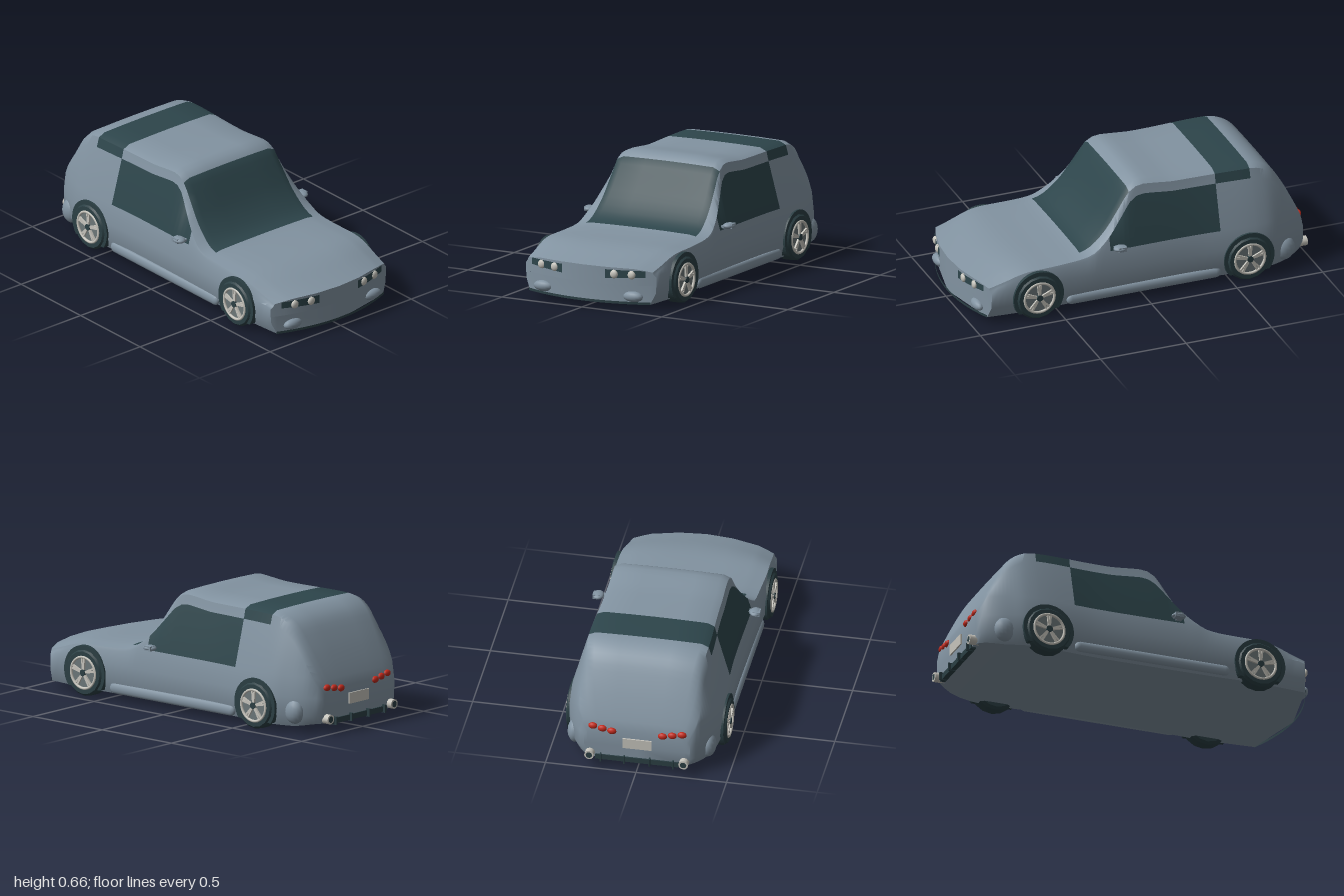
import * as THREE from 'three';
import { toCreasedNormals } from 'three/addons/utils/BufferGeometryUtils.js';

const mat = (name, color, side = THREE.FrontSide) => {
  const m = new THREE.MeshStandardMaterial({ color, side });
  m.name = name;
  return m;
};
const { lerp, clamp, smoothstep } = THREE.MathUtils;

// Height of the centre line and half width of the body along z, front to back
const TOP = [[0.99, 0.235], [0.9, 0.26], [0.8, 0.287], [0.7, 0.302], [0.5, 0.307], [0.36, 0.317], [0.29, 0.345],
  [0.2, 0.43], [0.12, 0.545], [0.06, 0.63], [0, 0.66], [-0.1, 0.655], [-0.2, 0.646], [-0.62, 0.645], [-0.7, 0.633],
  [-0.78, 0.582], [-0.85, 0.48], [-0.91, 0.37], [-0.95, 0.285], [-0.968, 0.24]];
const WIDTH = [[0.99, 0.405], [0.85, 0.415], [0.63, 0.425], [0.4, 0.418], [0, 0.412], [-0.3, 0.412], [-0.6, 0.427],
  [-0.72, 0.42], [-0.8, 0.397], [-0.88, 0.365], [-0.94, 0.325], [-0.968, 0.29]];

// Smooth interpolation through a table of [z, value]
function sample(t, z) {
  let i = 0;
  while (i < t.length - 2 && z < t[i + 1][0]) i++;
  const slope = k => {
    const a = t[Math.max(k - 1, 0)], b = t[Math.min(k + 1, t.length - 1)];
    return (b[1] - a[1]) / (b[0] - a[0]);
  };
  const h = t[i + 1][0] - t[i][0], u = (z - t[i][0]) / h, u2 = u * u, u3 = u2 * u;
  return (2 * u3 - 3 * u2 + 1) * t[i][1] + (u3 - 2 * u2 + u) * h * slope(i)
    + (3 * u2 - 2 * u3) * t[i + 1][1] + (u3 - u2) * h * slope(i + 1);
}

const noseZ = x => 0.99 - 0.09 * (x / 0.4) ** 2;

// Half cross-section from bottom centre round to roof centre
function section(z) {
  const T = sample(TOP, z), W = sample(WIDTH, z), k = clamp((T - 0.31) / 0.3, 0, 1);
  const floor = 0.035 + 0.02 * smoothstep(-z, 0.8, 0.968);
  const beltY = Math.min(T - 0.035, 0.315), sideY = T - lerp(0.02, 0.075, k);
  const sideX = W - 0.012 - (sideY - beltY) * 0.27;
  const edgeX = Math.min(W * lerp(0.825, 0.775, k), sideX - 0.012), roofX = edgeX - 0.04;
  return [[0, floor], [W - 0.03, floor], [W, 0.1], [W + 0.003, Math.min(0.2, beltY - 0.012)], [W - 0.01, beltY],
    [sideX, sideY], [edgeX, T - lerp(0.01, 0.022, k)], [roofX, T - 0.004], [roofX / 2, T - 0.001], [0, T]];
}

function bodyGeometry() {
  const stops = [0.99, 0.36, 0.2, 0.06, -0.44, -0.64, -0.968], parts = [16, 5, 5, 12, 4, 16], zs = [];
  parts.forEach((n, s) => { for (let i = 0; i < n; i++) zs.push(lerp(stops[s], stops[s + 1], i / n)); });
  zs.push(stops[6]);
  const pos = [], N = 18, painted = [], glazed = [];
  const addRow = (z, flat) => {
    const half = section(z), ring = [...half, ...half.slice(1, 9).reverse().map(([x, y]) => [-x, y])];
    const bend = smoothstep(z, 0.5, 0.99);
    for (const [x, y] of ring) pos.push(x, flat ? 0.14 : y, z - (0.99 - noseZ(x)) * bend);
  };
  // The first and last rows close the nose and tail
  addRow(zs[0], true);
  zs.forEach(z => addRow(z, false));
  addRow(zs[zs.length - 1], true);
  for (let i = 0; i < zs.length + 1; i++) {
    const zm = i > 0 && i < zs.length ? (zs[i - 1] + zs[i]) / 2 : 9;
    for (let j = 0; j < N; j++) {
      const cell = j < 9 ? j : 17 - j;
      const sideWindow = cell === 4 && zm < 0.2 && zm > -0.44;
      const windscreen = cell >= 6 && zm < 0.36 && zm > 0.06;
      const roofBand = cell >= 5 && zm < -0.44 && zm > -0.64;
      const a = i * N + j, b = i * N + (j + 1) % N, c = b + N, d = a + N;
      (sideWindow || windscreen || roofBand ? glazed : painted).push(a, d, c, a, c, b);
    }
  }
  const g = new THREE.BufferGeometry();
  g.setAttribute('position', new THREE.Float32BufferAttribute(pos, 3));
  g.setIndex([...painted, ...glazed]);
  g.addGroup(0, painted.length, 0);
  g.addGroup(painted.length, glazed.length, 1);
  return toCreasedNormals(g, 0.8);
}

export function createModel() {
  const car = new THREE.Group();
  car.name = 'car';
  const paint = mat('bluegreyPaint', 0x8293a1), glass = mat('darkGlass', 0x2d454b, THREE.DoubleSide);
  const rubber = mat('rubber', 0x2b3f44, THREE.DoubleSide), alloy = mat('alloy', 0xc6c4bc);
  const hollow = mat('wheelRecess', 0x6c7779), red = mat('redLamp', 0xc22a1c);

  const add = (parent, name, geo, material, x = 0, y = 0, z = 0) => {
    const m = new THREE.Mesh(geo, material);
    m.name = name;
    m.position.set(x, y, z);
    parent.add(m);
    return m;
  };
  const box = (w, h, d) => new THREE.BoxGeometry(w, h, d);
  const ball = (rx, ry, rz) => new THREE.SphereGeometry(1, 16, 10).scale(rx, ry, rz);

  add(car, 'body', bodyGeometry(), [paint, glass]);

  // Wheel shapes, with the axle along x and the outside at +x
  const tyreProfile = [[0.088, -0.045], [0.118, -0.045], [0.13, -0.03], [0.13, 0.03], [0.118, 0.045], [0.088, 0.045]]
    .map(p => new THREE.Vector2(...p));
  const tyreGeo = toCreasedNormals(new THREE.LatheGeometry(tyreProfile, 16).rotateZ(-Math.PI / 2), 0.5);
  const rimGeo = new THREE.TorusGeometry(0.087, 0.008, 8, 32).rotateY(Math.PI / 2);
  const disc = (r, h) => new THREE.CylinderGeometry(r, r, h, 24).rotateZ(Math.PI / 2);
  const archShape = new THREE.Shape().absarc(0, 0, 0.146, -0.65, Math.PI + 0.65);
  const archGeo = new THREE.ExtrudeGeometry(archShape, { depth: 0.05, bevelEnabled: false, curveSegments: 24 })
    .rotateY(Math.PI / 2);

  for (const s of [1, -1]) {
    const side = s > 0 ? 'left' : 'right';
    for (const [end, z] of [['Front', 0.63], ['Rear', -0.6]]) {
      const wheel = new THREE.Group();
      wheel.name = `${side}${end}Wheel`;
      wheel.position.set(s * 0.397, 0.13, z);
      wheel.rotation.y = s > 0 ? 0 : Math.PI;
      car.add(wheel);
      add(wheel, 'wheelArch', archGeo, rubber, -0.015, 0.004, 0);
      add(wheel, 'tyre', tyreGeo, rubber);
      add(wheel, 'rim', rimGeo, alloy, 0.043);
      add(wheel, 'rimRecess', disc(0.087, 0.07), hollow, 0.002);
      add(wheel, 'hub', disc(0.018, 0.014), rubber, 0.045);
      for (let i = 0; i < 5; i++) {
        for (const o of [-0.1, 0.1]) {
          const spoke = add(wheel, 'spoke', box(0.012, 0.07, 0.011).translate(0, 0.052, 0), alloy, 0.042);
          spoke.rotation.x = i * Math.PI * 0.4 + o;
        }
      }
    }

    // Side skirt and bumper bulges
    const skirt = new THREE.CapsuleGeometry(0.03, 0.84, 4, 12).rotateX(Math.PI / 2).scale(0.6, 1, 1);
    add(car, side + 'Skirt', skirt, paint, s * 0.41, 0.07, 0.01);
    add(car, side + 'RearBulge', ball(0.045, 0.07, 0.06), paint, s * 0.365, 0.12, -0.83);
    add(car, side + 'FrontBulge', ball(0.06, 0.03, 0.03), paint, s * 0.28, 0.075, 0.93);

    // Door mirror
    add(car, side + 'Mirror', ball(0.032, 0.017, 0.04), paint, s * 0.434, 0.338, 0.155);
    add(car, side + 'MirrorHousing', box(0.04, 0.026, 0.045), paint, s * 0.442, 0.338, 0.15);
    add(car, side + 'MirrorArm', box(0.05, 0.014, 0.03), paint, s * 0.41, 0.332, 0.165);

    // Headlamp panel wrapped round the nose, with two round lamps
    const panel = new THREE.PlaneGeometry(0.22, 0.048, 8, 1).translate(s * 0.245, 0.198, 0);
    const p = panel.attributes.position;
    for (let i = 0; i < p.count; i++) {
      const x = p.getX(i), t = (Math.abs(x) - 0.135) / 0.22;
      if (p.getY(i) < 0.198) p.setY(i, 0.174 + 0.012 * t);
      p.setZ(i, noseZ(x) + 0.004);
    }
    panel.computeVertexNormals();
    add(car, side + 'HeadlampPanel', panel, glass);
    for (const x of [0.185, 0.28]) add(car, side + 'Headlamp', ball(0.024, 0.024, 0.014), alloy, s * x, 0.198, noseZ(x) + 0.002);

    // Three tail lamps and the exhaust
    for (let i = 0; i < 3; i++) {
      add(car, side + 'TailLamp', ball(0.026, 0.019, 0.016), red, s * (0.14 + i * 0.053), 0.232 + i * 0.008, -0.966 + i * 0.004);
    }
    const pipe = new THREE.CylinderGeometry(0.027, 0.027, 0.07, 12).rotateX(Math.PI / 2);
    add(car, side + 'Exhaust', pipe, alloy, s * 0.26, 0.08, -0.965);
    add(car, side + 'ExhaustBore', new THREE.CircleGeometry(0.018, 12).rotateY(Math.PI), rubber, s * 0.26, 0.08, -1.001);
  }

  // Rear plate and diffuser
  add(car, 'rearPlate', box(0.16, 0.06, 0.008), alloy, 0, 0.165, -0.973);
  add(car, 'diffuser', box(0.46, 0.03, 0.03), rubber, 0, 0.06, -0.96);
  for (const x of [-0.2, -0.07, 0.07, 0.2]) add(car, 'diffuserFin', box(0.008, 0.045, 0.04), rubber, x, 0.062, -0.97);
  // Front lip
  const lip = new THREE.PlaneGeometry(0.76, 0.014, 16, 1).translate(0, 0.042, 0);
  const lp = lip.attributes.position;
  for (let i = 0; i < lp.count; i++) lp.setZ(i, noseZ(lp.getX(i)) + 0.003);
  lip.computeVertexNormals();
  add(car, 'frontLip', lip, rubber);
  return car;
}
